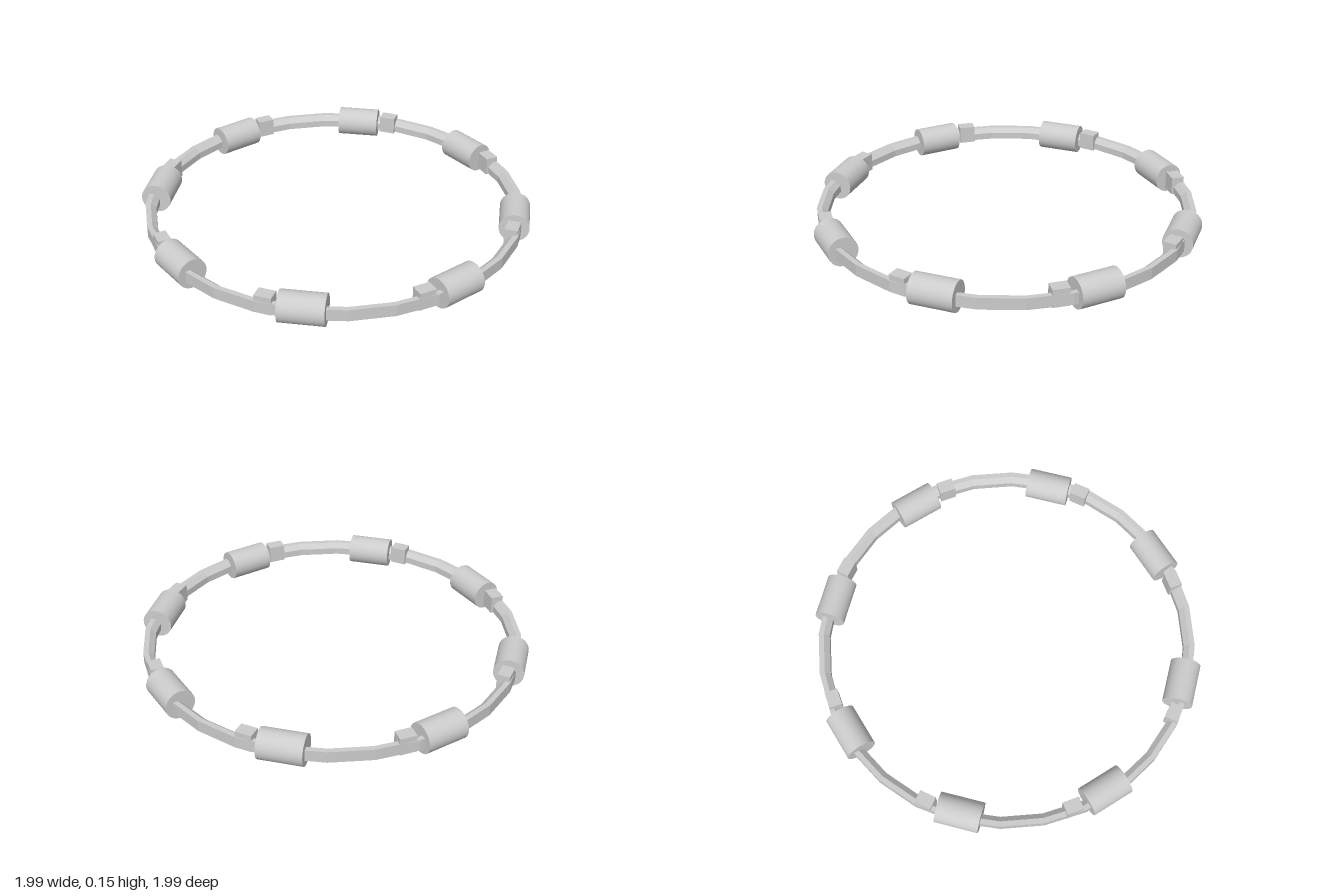
import * as THREE from 'three';

export function createModel() {
  const model = new THREE.Group();
  const smooth = new THREE.MeshStandardMaterial({ color: 0xcccccc });
  const flat = new THREE.MeshStandardMaterial({ color: 0xcccccc, flatShading: true });

  // Faceted hoop: flat outer wall, narrow top, bevelled inner edge
  const segments = 28;
  const profile = [
    [0.91, 0.042], [0.963, 0.042], [0.963, 0.102], [0.937, 0.102], [0.91, 0.078], [0.91, 0.042],
  ].map(([r, y]) => new THREE.Vector2(r, y));
  const hoop = new THREE.Mesh(new THREE.LatheGeometry(profile, segments, Math.PI / segments), flat);
  hoop.name = 'hoop';
  model.add(hoop);

  const beadGeometry = new THREE.CylinderGeometry(0.076, 0.076, 0.22, 40).rotateZ(Math.PI / 2);
  const blockGeometry = new THREE.BoxGeometry(0.085, 0.092, 0.065);

  // Places a part on the hoop, its x axis along the tangent; degrees run from the back towards +x
  function place(name, geometry, material, degrees, radius, y) {
    const pivot = new THREE.Group();
    const mesh = new THREE.Mesh(geometry, material);
    mesh.position.set(0, y, -radius);
    pivot.rotation.y = -THREE.MathUtils.degToRad(degrees);
    pivot.name = name;
    pivot.add(mesh);
    model.add(pivot);
  }

  // Each quarter carries two cylindrical beads, each followed by a small block
  for (let quarter = 0; quarter < 4; quarter++) {
    const turn = quarter * 90;
    for (const [bead, block] of [[11.3, 22.7], [57.6, 68.4]]) {
      place('bead', beadGeometry, smooth, turn + bead, 0.916, 0.076);
      place('block', blockGeometry, flat, turn + block, 0.924, 0.084);
    }
  }
  return model;
}
